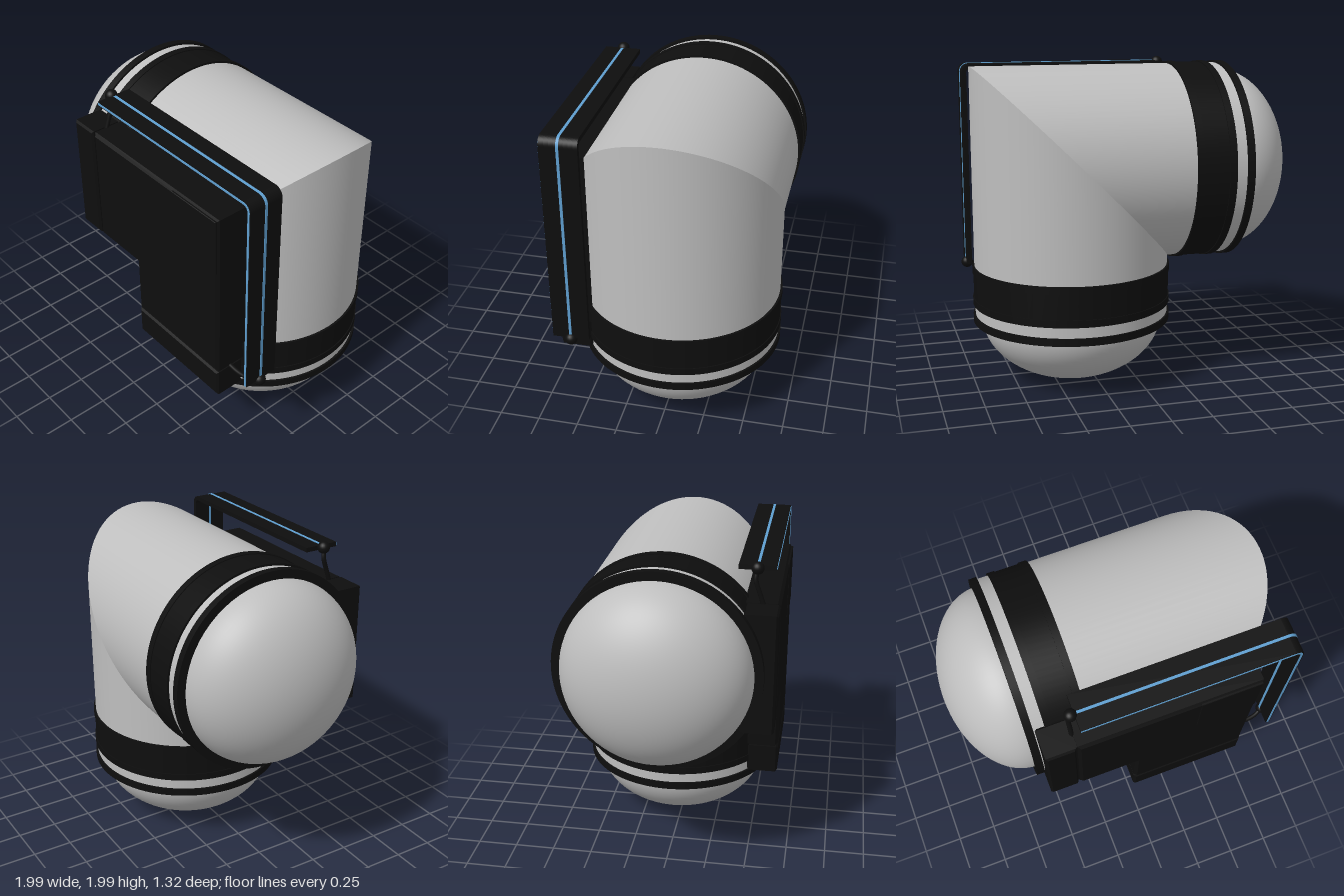
import * as THREE from 'three';

export function createModel() {
  const model = new THREE.Group();
  const shell = new THREE.MeshStandardMaterial({ color: 0xbebebe });
  shell.name = 'light grey shell';
  const black = new THREE.MeshStandardMaterial({ color: 0x0e0e0e });
  black.name = 'black trim';
  const blue = new THREE.MeshStandardMaterial({ color: 0x5f9fd0 });
  blue.name = 'blue light';

  const add = (parent, name, geometry, material, x = 0, y = 0, z = 0) => {
    const mesh = new THREE.Mesh(geometry, material);
    mesh.name = name;
    mesh.position.set(x, y, z);
    parent.add(mesh);
    return mesh;
  };

  // One arm of the elbow, pointing down, cut at 45 degrees at its top
  const R = 0.61, END = -0.965;
  function makeArm(name) {
    const arm = new THREE.Group();
    arm.name = name;
    const tube = new THREE.CylinderGeometry(R, R, 1, 96, 1, true);
    const p = tube.attributes.position;
    for (let i = 0; i < p.count; i++) p.setY(i, p.getY(i) > 0 ? p.getX(i) : END);
    add(arm, 'tubeShell', tube, shell);

    const dome = new THREE.SphereGeometry(0.57, 64, 24, 0, Math.PI * 2, Math.PI / 2, Math.PI / 2);
    dome.scale(1, 0.395 / 0.57, 1);
    add(arm, 'endDome', dome, shell, 0, END - 0.003, 0);

    const ring = (label, radius, height, y) =>
      add(arm, label, new THREE.CylinderGeometry(radius, radius, height, 96), black, 0, y, 0);
    ring('endRing', 0.623, 0.046, END);
    ring('wideBand', 0.617, 0.24, -0.751);
    ring('bandLip', 0.623, 0.045, -0.651);
    ring('bandLip', 0.623, 0.045, -0.852);
    arm.position.set(0.365, 1.37, -0.035);
    model.add(arm);
    return arm;
  }
  makeArm('lowerArm');
  // The side arm is the lower arm turned over about the mitre line
  makeArm('sideArm').quaternion.setFromAxisAngle(new THREE.Vector3(1, 1, 0).normalize(), Math.PI);

  // Front control panel: L-shaped slab with separate end blocks
  const panel = new THREE.Group();
  panel.name = 'frontPanel';
  model.add(panel);
  function slab(name, points, z0, z1, bevel) {
    const g = new THREE.ExtrudeGeometry(new THREE.Shape(points.map(([x, y]) => new THREE.Vector2(x, y))), {
      depth: z1 - z0 - 2 * bevel, bevelThickness: bevel, bevelSize: bevel,
      bevelOffset: -bevel, bevelSegments: 1,
    });
    return add(panel, name, g, black, 0, 0, z0 + bevel);
  }
  const rect = (x0, y0, x1, y1) => [[x0, y0], [x1, y0], [x1, y1], [x0, y1]];
  slab('mainSlab', [[-0.38, 1], [-0.01, 1], [-0.01, 0.625], [0.745, 0.625], [0.745, 1.75], [-0.38, 1.75]],
    0.42, 0.653, 0.018);
  slab('sideBlock', rect(-0.57, 1, -0.39, 1.75), 0.455, 0.653, 0.012);
  slab('lowerBlock', rect(-0.01, 0.43, 0.745, 0.615), 0.455, 0.653, 0.012);
  slab('sideJoint', rect(-0.42, 1.01, -0.35, 1.74), 0.47, 0.635, 0.002);
  slab('lowerJoint', rect(0, 0.58, 0.735, 0.66), 0.47, 0.635, 0.002);
  slab('cornerPlate', rect(0.36, 1.38, 0.735, 1.74), 0.64, 0.657, 0.003);

  // Bent light rail: a thin ribbon following a rounded corner
  const rail = new THREE.Group();
  rail.name = 'lightRail';
  model.add(rail);
  const X = 0.952, Y = 1.953, CORNER = 0.04;
  function ribbon(name, offset, thickness, z0, z1, material) {
    const o = offset + thickness / 2, i = offset - thickness / 2;
    const s = new THREE.Shape();
    s.moveTo(-0.35, Y + o);
    s.lineTo(X - CORNER, Y + o);
    s.absarc(X - CORNER, Y - CORNER, CORNER + o, Math.PI / 2, 0, true);
    s.lineTo(X + o, 0.655);
    s.lineTo(X + i, 0.655);
    s.lineTo(X + i, Y - CORNER);
    s.absarc(X - CORNER, Y - CORNER, CORNER + i, 0, Math.PI / 2, false);
    s.lineTo(-0.35, Y + i);
    const g = new THREE.ExtrudeGeometry(s, { depth: z1 - z0, bevelEnabled: false, curveSegments: 8 });
    add(rail, name, g, material, 0, 0, z0);
  }
  ribbon('railBody', 0, 0.028, 0.4, 0.62, black);
  ribbon('outerLight', 0.015, 0.005, 0.504, 0.52, blue);
  ribbon('innerLight', -0.015, 0.005, 0.504, 0.52, blue);
  ribbon('edgeLight', 0, 0.014, 0.618, 0.623, blue);

  // Ball ends and the cables that join the rail to the panel
  const ball = new THREE.SphereGeometry(0.038, 20, 14);
  add(rail, 'upperBall', ball, black, -0.37, 1.957, 0.512);
  add(rail, 'lowerBall', ball, black, 0.957, 0.645, 0.512);
  function cable(name, points) {
    const curve = new THREE.CatmullRomCurve3(points.map((q) => new THREE.Vector3(...q)));
    add(rail, name, new THREE.TubeGeometry(curve, 24, 0.014, 10), black);
  }
  cable('upperCable', [[-0.37, 1.957, 0.512], [-0.385, 1.89, 0.505], [-0.385, 1.81, 0.53], [-0.385, 1.72, 0.56]]);
  cable('lowerCable', [[0.957, 0.645, 0.512], [0.9, 0.625, 0.54], [0.82, 0.615, 0.55], [0.72, 0.62, 0.55]]);

  return model;
}
